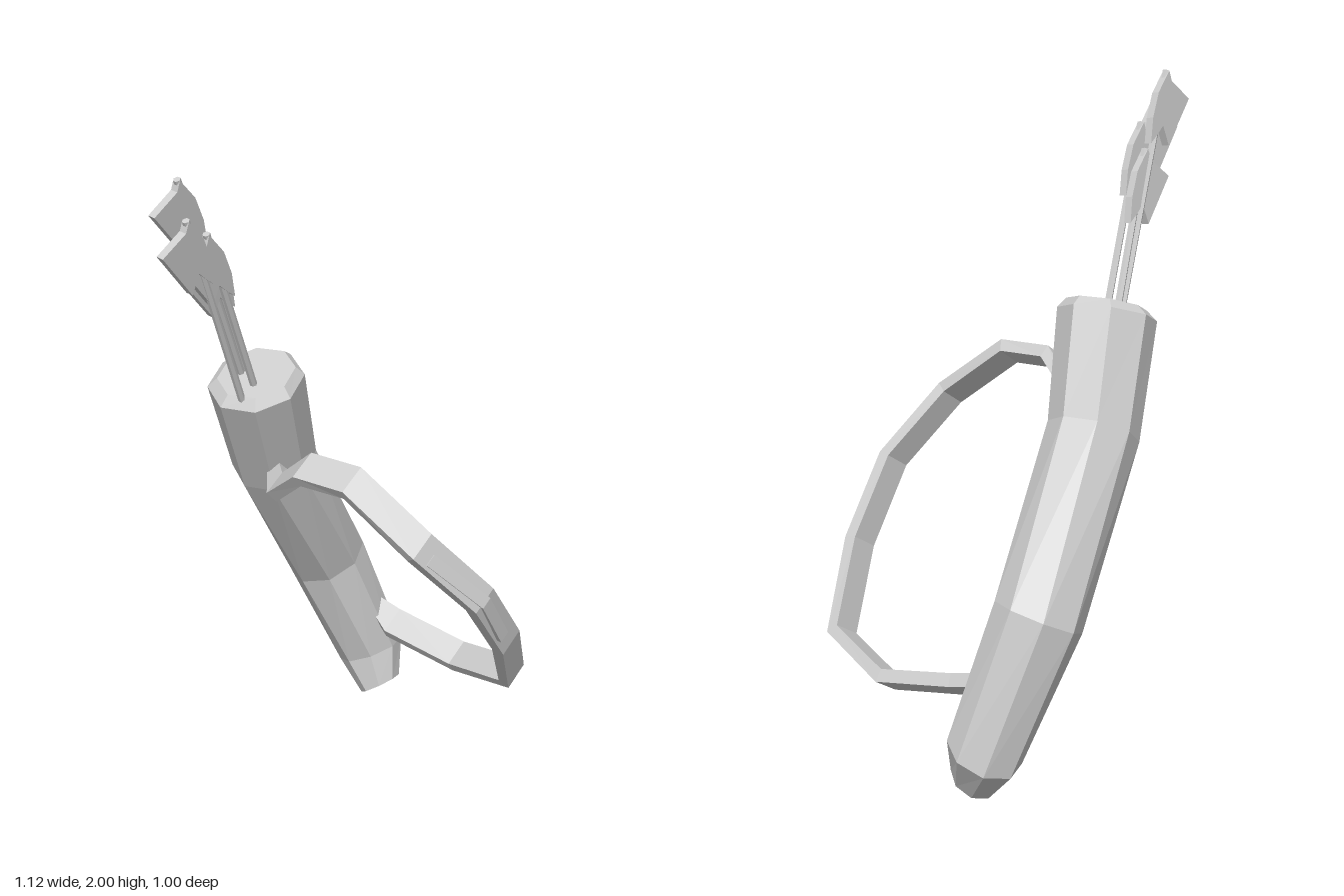
import * as THREE from 'three';

const V = (x, y, z) => new THREE.Vector3(x, y, z);

// Skin a list of equal-sized rings (counter-clockwise about the travel direction) and cap both ends
function loft(rings) {
  const n = rings[0].length, pos = [], index = [];
  rings.forEach(r => r.forEach(p => pos.push(p.x, p.y, p.z)));
  for (let i = 0; i < rings.length - 1; i++) {
    for (let j = 0; j < n; j++) {
      const a = i * n + j, b = i * n + (j + 1) % n;
      index.push(a, b, b + n, a, b + n, a + n);
    }
  }
  const e = (rings.length - 1) * n;
  for (let j = 1; j < n - 1; j++) index.push(0, j + 1, j, e, e + j, e + j + 1);
  const g = new THREE.BufferGeometry();
  g.setAttribute('position', new THREE.Float32BufferAttribute(pos, 3));
  g.setIndex(index);
  const flat = g.toNonIndexed();
  flat.computeVertexNormals();
  return flat;
}

// Eight-sided ring facing along a normal
function octagon(center, normal, radius) {
  const n = normal.clone().normalize();
  const u = V(1, 0, 0).addScaledVector(n, -n.x).normalize();
  const v = n.clone().cross(u);
  return Array.from({ length: 8 }, (_, i) => {
    const a = i * Math.PI / 4 + 0.05;
    return center.clone().addScaledVector(u, radius * Math.cos(a)).addScaledVector(v, radius * Math.sin(a));
  });
}

// Flat band of rectangular section following points [x, y, z, scale]
function band(points, halfWidth, halfThick) {
  const c = points.map(p => V(p[0], p[1], p[2]));
  const across = V(0.85, 0.53, 0).normalize();
  return loft(c.map((p, i) => {
    const a = c[Math.max(i - 1, 0)], b = c[Math.min(i + 1, c.length - 1)];
    const inDir = p.clone().sub(a).normalize(), outDir = b.clone().sub(p).normalize();
    const t = inDir.add(outDir).normalize();
    const v = t.clone().cross(across).normalize();
    const s = points[i][3] ?? 1;
    return [[1, 1], [-1, 1], [-1, -1], [1, -1]].map(([x, y]) =>
      p.clone().addScaledVector(across, x * halfWidth * s).addScaledVector(v, y * halfThick));
  }));
}

export function createModel() {
  const model = new THREE.Group();
  const grey = new THREE.MeshStandardMaterial({ color: 0xcccccc, flatShading: true });
  grey.name = 'light grey';
  const add = (name, geometry, parent = model) => {
    const m = new THREE.Mesh(geometry, grey);
    m.name = name;
    parent.add(m);
    return m;
  };

  // Bent quiver body, from the bevelled mouth down to the tip
  add('quiverBody', loft([
    octagon(V(-0.11, 1.35, -0.258), V(0.33, -0.94, -0.08), 0.118),
    octagon(V(-0.105, 1.322, -0.265), V(0.33, -0.94, -0.1), 0.146),
    octagon(V(0.03, 1.01, -0.327), V(0.48, -0.87, -0.12), 0.134),
    octagon(V(0.32, 0.54, -0.37), V(0.4, -0.9, 0.12), 0.131),
    octagon(V(0.452, 0.155, -0.285), V(0.05, -0.87, 0.4), 0.112),
    octagon(V(0.43, 0.047, -0.223), V(0, -0.82, 0.57), 0.072),
  ]));

  // Shoulder strap loop
  add('strap', band([
    [-0.06, 1.03, -0.23, 0.6], [-0.15, 1.03, -0.135, 0.85], [-0.19, 1.145, 0.01], [-0.172, 1.145, 0.17],
    [-0.12, 0.99, 0.375], [0.045, 0.79, 0.47], [0.225, 0.565, 0.442], [0.395, 0.335, 0.35],
    [0.452, 0.27, 0.095], [0.42, 0.315, -0.16], [0.43, 0.345, -0.24, 0.6],
  ], 0.047, 0.02));

  // Loose strap end lying on the outside of the loop
  add('strapEnd', band([
    [-0.11, 0.955, 0.4], [0.045, 0.785, 0.486], [0.158, 0.62, 0.474],
  ], 0.02, 0.011));

  // Arrow feathers: a broad vane on one side and a narrow one on the other
  const outline = [[0, 0], [0.03, -0.08], [0.034, -0.16], [0.022, -0.235], [0, -0.2],
    [-0.018, -0.165], [-0.06, -0.21], [-0.115, -0.042], [-0.02, -0.025]];
  const vanes = new THREE.ExtrudeGeometry(
    new THREE.Shape(outline.map(p => new THREE.Vector2(...p))), { depth: 0.024, bevelEnabled: false });
  vanes.translate(0, 0, -0.012);

  // Four arrows: nock position, then where the shaft enters the quiver
  [
    [V(-0.43, 2.0, -0.22), V(-0.13, 1.34, -0.3)],
    [V(-0.47, 1.91, -0.15), V(-0.205, 1.3, -0.225)],
    [V(-0.38, 1.85, -0.168), V(-0.15, 1.33, -0.23)],
    [V(-0.31, 1.78, -0.237), V(-0.11, 1.345, -0.3)],
  ].forEach(([top, base]) => {
    const arrow = new THREE.Group();
    arrow.name = 'arrow';
    const d = top.clone().sub(base), length = d.length();
    d.normalize();
    const side = V(1, 0, 0).addScaledVector(d, -d.x).normalize();
    arrow.quaternion.setFromRotationMatrix(
      new THREE.Matrix4().makeBasis(side, d, side.clone().cross(d)));
    arrow.position.copy(top);
    model.add(arrow);
    const shaft = new THREE.CylinderGeometry(0.011, 0.011, length, 6);
    shaft.translate(0, -length / 2, 0);
    add('arrowShaft', shaft, arrow);
    add('arrowFeathers', vanes, arrow);
  });

  return model;
}
